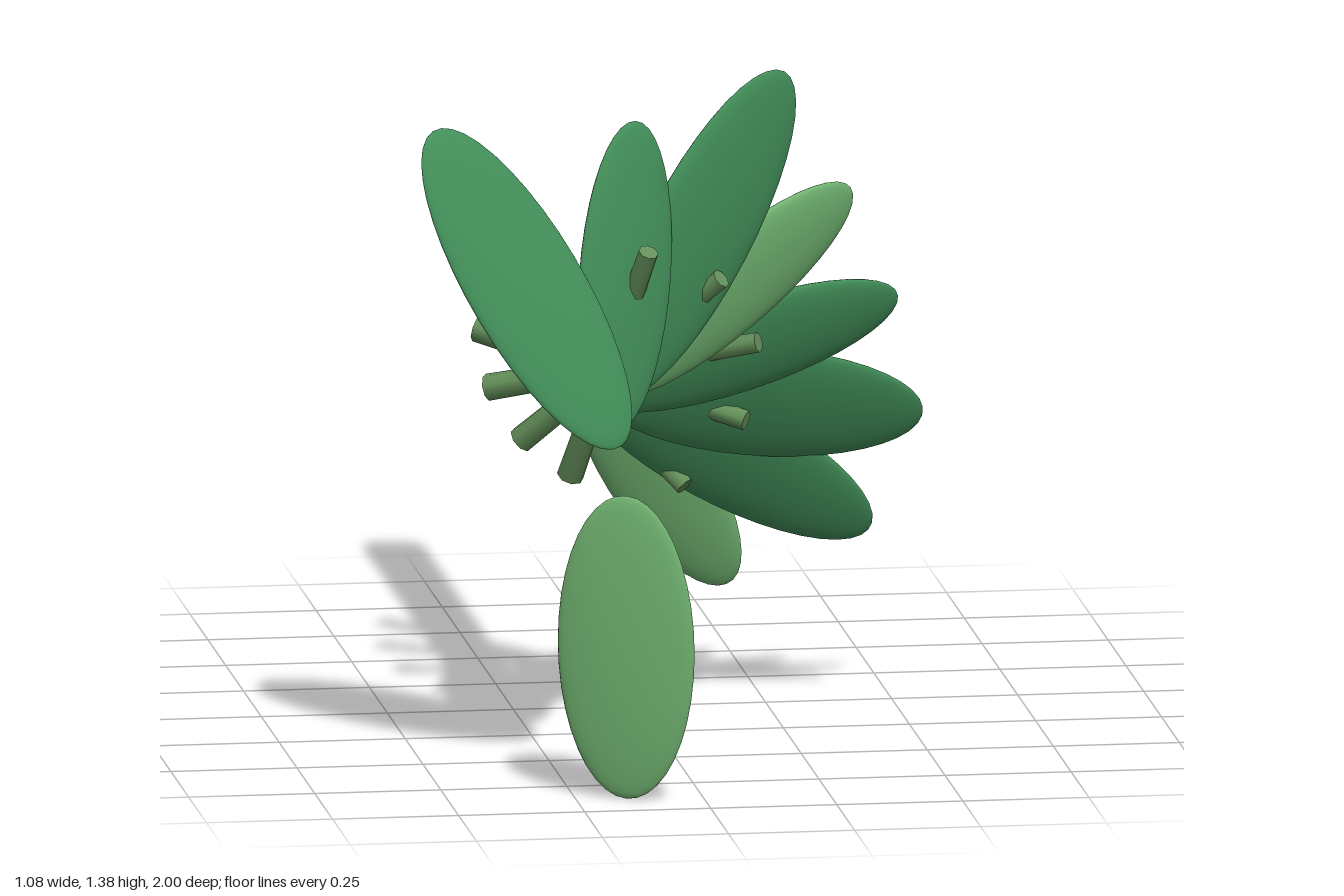
import * as THREE from 'three';

const AXIS = { x: -0.165, y: 0.717 };
const rad = THREE.MathUtils.degToRad;
const mat = (color) => new THREE.MeshStandardMaterial({ color });

// Cylinder running from one point to another
function rod(from, to, r0, r1, sides, material) {
  const d = to.clone().sub(from);
  const mesh = new THREE.Mesh(new THREE.CylinderGeometry(r1, r0, d.length(), sides), material);
  mesh.position.copy(from).addScaledVector(d, 0.5);
  mesh.quaternion.setFromUnitVectors(new THREE.Vector3(0, 1, 0), d.normalize());
  return mesh;
}

// Flattened ellipsoid pointing outward at an angle, leaning back and twisted
function leaf([x, y, z, angle, halfLength, halfWidth], material) {
  const a = rad(angle), lean = rad(7.5), twist = rad(27);
  const along = new THREE.Vector3(Math.cos(a) * Math.cos(lean), Math.sin(a) * Math.cos(lean), -Math.sin(lean));
  const tangent = new THREE.Vector3(-Math.sin(a), Math.cos(a), 0);
  const across = tangent.clone().multiplyScalar(Math.cos(twist))
    .addScaledVector(along.clone().cross(tangent), Math.sin(twist));
  const normal = along.clone().cross(across);
  const mesh = new THREE.Mesh(new THREE.SphereGeometry(1, 32, 20), material);
  mesh.quaternion.setFromRotationMatrix(new THREE.Matrix4().makeBasis(across, along, normal.negate()));
  mesh.scale.set(halfWidth, halfLength, 0.022);
  mesh.position.set(x, y, z);
  return mesh;
}

export function createModel() {
  const group = new THREE.Group();
  const bark = mat(0x64905a), dark = mat(0x43905a), light = mat(0x74b874);

  // Main stem
  const stem = rod(new THREE.Vector3(AXIS.x, AXIS.y, -1), new THREE.Vector3(AXIS.x, AXIS.y, 0.62), 0.06, 0.06, 14, bark);
  stem.name = 'stem';
  group.add(stem);

  // Leaf stalks spiralling through the stem
  for (let i = 0; i < 5; i++) {
    const a = rad(-47 + 31 * i), z = -0.19 + 0.16 * i;
    const at = (r, zz) => new THREE.Vector3(AXIS.x + Math.cos(a) * r, AXIS.y + Math.sin(a) * r, zz);
    const stalk = rod(at(-0.16, z), at(0.355, z + 0.28), 0.027, 0.02, 8, bark);
    stalk.name = 'stalk' + (i + 1);
    group.add(stalk);
  }

  // Leaves: centre x, y, z, angle, half length, half width
  [
    [0.035, 0.47, -0.01, -59, 0.282, 0.112],
    [0.153, 0.53, 0.11, -31, 0.343, 0.125],
    [0.21, 0.648, 0.21, -8, 0.333, 0.135],
    [0.16, 0.787, 0.335, 15, 0.325, 0.112],
    [0.115, 0.925, 0.45, 37.5, 0.313, 0.11],
    [0.037, 1.06, 0.565, 60.5, 0.363, 0.134],
    [-0.125, 1.005, 0.68, 85, 0.307, 0.11],
    [-0.338, 1.013, 0.81, 120, 0.363, 0.128],
    [-0.157, 0.313, 0.925, -89, 0.315, 0.142],
  ].forEach((spec, i) => {
    const mesh = leaf(spec, i % 4 === 0 ? light : dark);
    mesh.name = 'leaf' + (i + 1);
    group.add(mesh);
  });

  return group;
}
